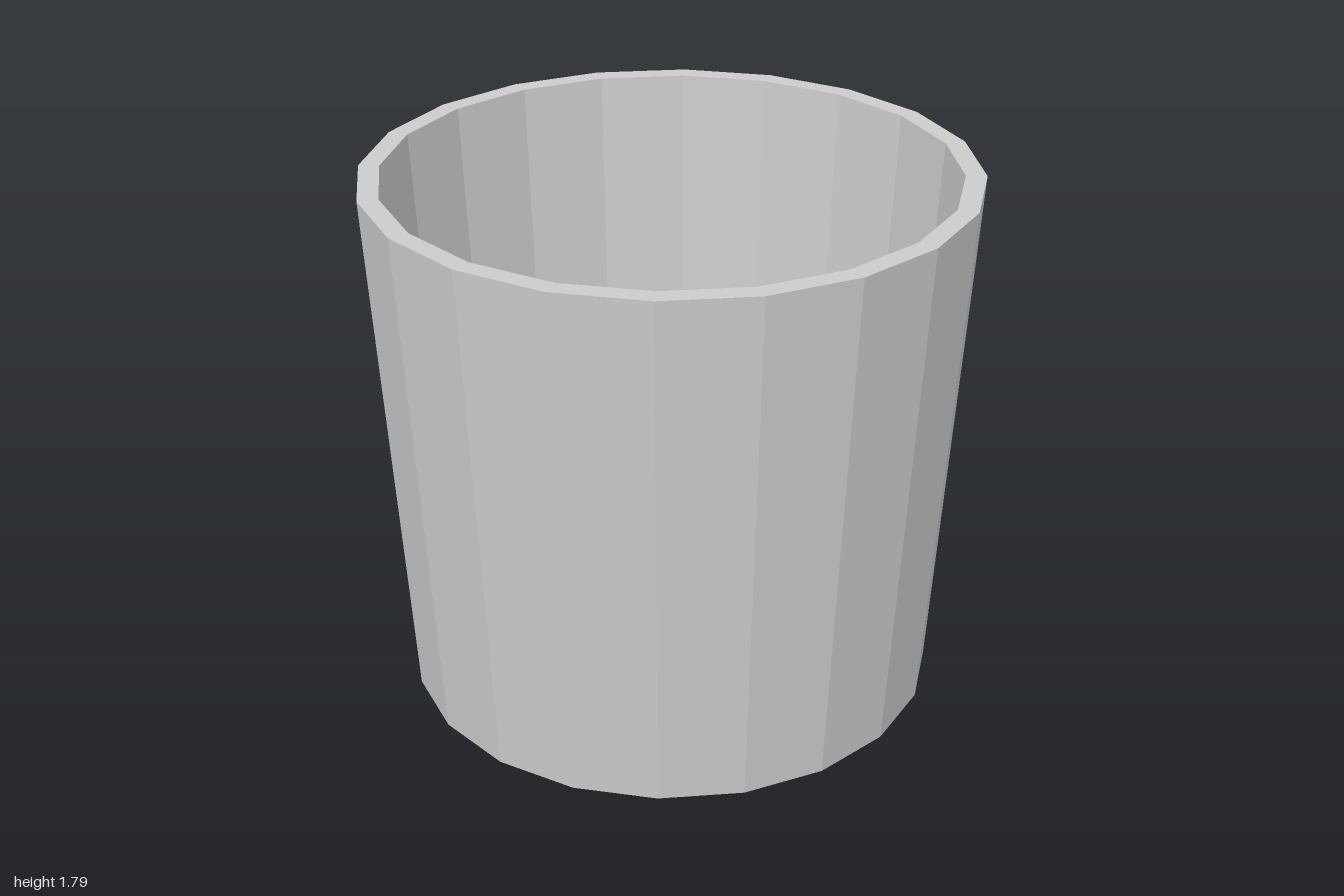
import * as THREE from 'three';

const SIDES = 20;
const HEIGHT = 1.79;
const FLOOR = 0.14;

export function createModel() {
  const model = new THREE.Group();
  model.name = 'cup';
  const material = new THREE.MeshStandardMaterial({ color: 0xcccccc, flatShading: true });

  // Closed profile: underside, tapered outer wall, flat rim, inner wall, inner floor
  const profile = [
    [0, 0], [0.893, 0], [1, HEIGHT], [0.932, HEIGHT], [0.84, FLOOR], [0, FLOOR],
  ].map(([r, y]) => new THREE.Vector2(r, y));

  const cup = new THREE.Mesh(new THREE.LatheGeometry(profile, SIDES), material);
  cup.name = 'cupBody';
  model.add(cup);
  return model;
}
